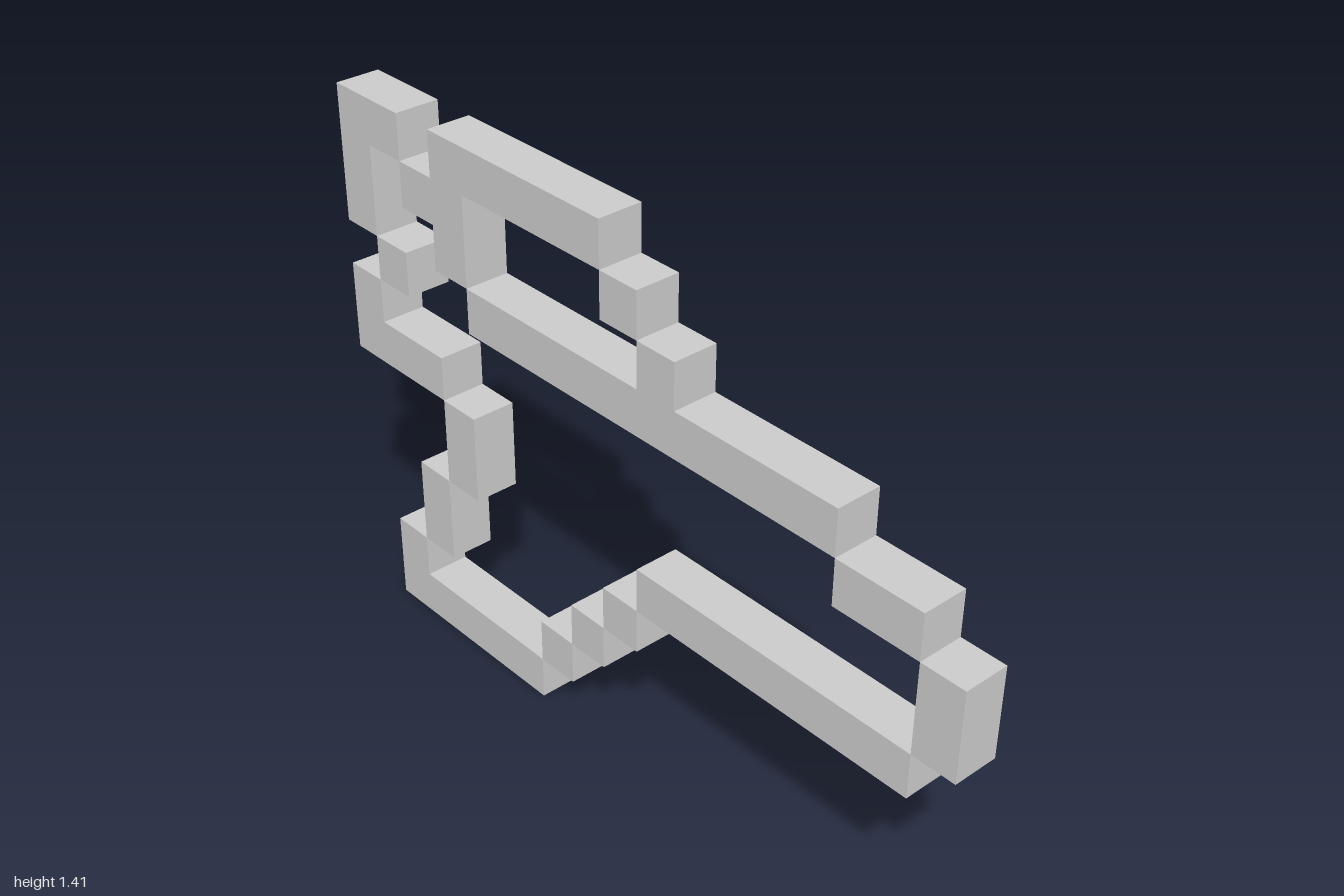
import * as THREE from 'three';

const U = 2 / 17; // one pixel block

// Outlines in block units, counted from the lower left corner of the 17 x 12 grid
const rect = (c, r, w = 1, h = 1) => [[c, r], [c + w, r], [c + w, r + h], [c, r + h]];

const parts = {
  // upper left hook and the ragged left edge
  upperLeftHook: [[0, 9], [1, 9], [1, 11], [2, 11], [2, 12], [0, 12]],
  leftNotchBlock: rect(1, 8),
  middleLeftHook: [[0, 6], [3, 6], [3, 7], [1, 7], [1, 8], [0, 8]],
  leftUpperPost: rect(3, 4, 1, 2),
  leftLowerPost: rect(2, 2, 1, 2),
  // bottom corner and the steps rising to the lower edge
  bottomCorner: [[1, 0], [6, 0], [6, 1], [2, 1], [2, 2], [1, 2]],
  lowerStep1: rect(6, 1),
  lowerStep2: rect(7, 2),
  lowerStep3: rect(8, 3),
  lowerBar: rect(9, 4, 7, 1),
  // right tip
  tipPost: rect(16, 5, 1, 2),
  tipUpperBar: rect(14, 7, 2, 1),
  // upper loop
  middleBar: [[4, 8], [14, 8], [14, 9], [10, 9], [10, 10], [9, 10], [9, 9], [4, 9]],
  upperStep: rect(8, 10),
  topBracket: [[2, 10], [3, 10], [3, 9], [4, 9], [4, 11], [8, 11], [8, 12], [3, 12], [3, 11], [2, 11]],
};

export function createModel() {
  const group = new THREE.Group();
  group.name = 'pixelOutline';
  const material = new THREE.MeshStandardMaterial({ color: 0xcccccc, flatShading: true });
  for (const [name, outline] of Object.entries(parts)) {
    const shape = new THREE.Shape(outline.map(([c, r]) => new THREE.Vector2(c * U - 1, r * U)));
    const geometry = new THREE.ExtrudeGeometry(shape, { depth: U, bevelEnabled: false });
    geometry.translate(0, 0, -U / 2);
    const mesh = new THREE.Mesh(geometry, material);
    mesh.name = name;
    group.add(mesh);
  }
  return group;
}
